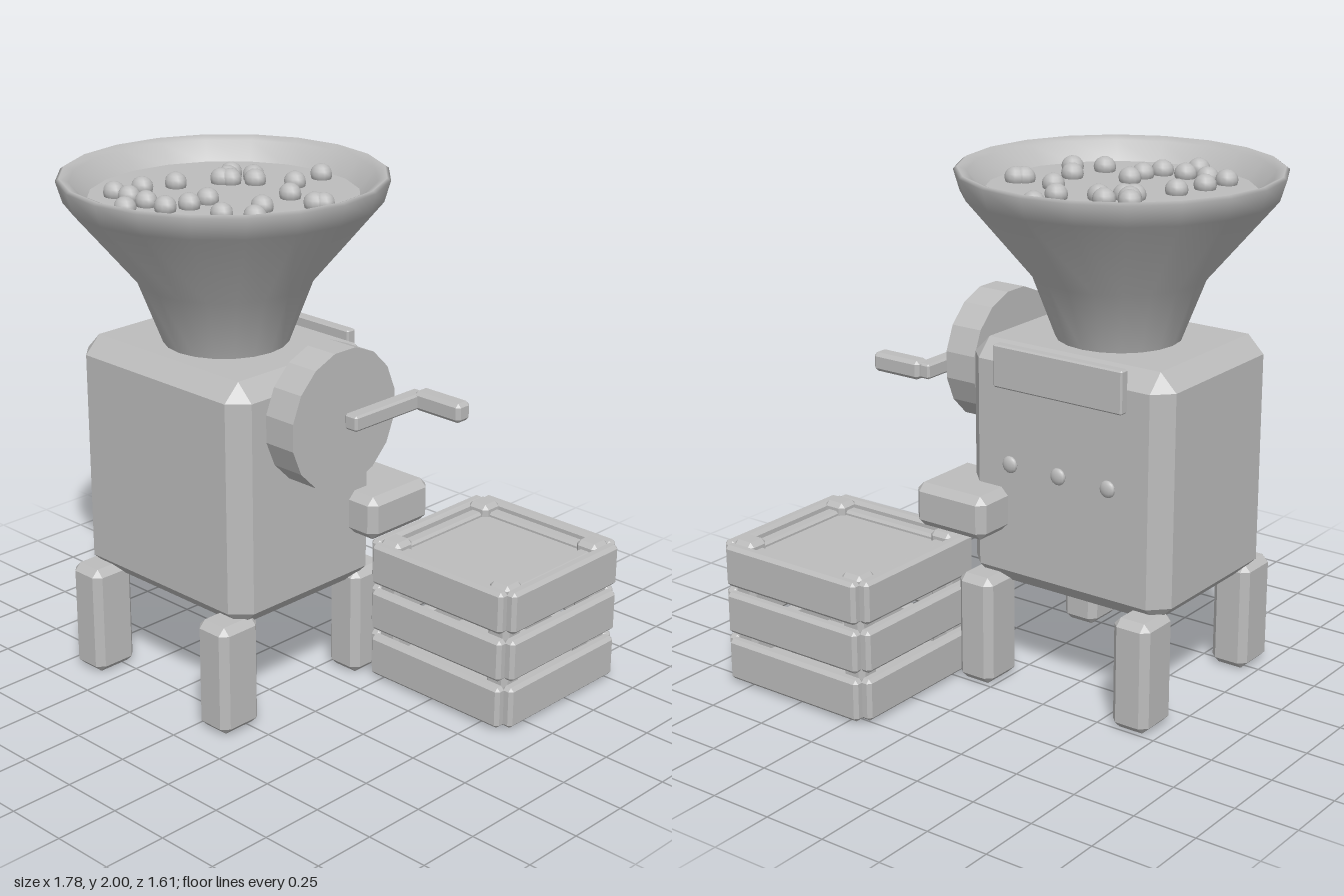
import * as THREE from 'three';
import { ConvexGeometry } from 'three/addons/geometries/ConvexGeometry.js';

const grey = new THREE.MeshStandardMaterial({ color: 0xbcbcbc });
grey.name = 'plain grey';

// Box with bevelled edges spanning two opposite corners
function chamferBox([x0, y0, z0], [x1, y1, z1], c) {
  const h = [(x1 - x0) / 2, (y1 - y0) / 2, (z1 - z0) / 2];
  const points = [];
  for (const sx of [-1, 1]) for (const sy of [-1, 1]) for (const sz of [-1, 1]) {
    for (let full = 0; full < 3; full++) {
      const p = h.map((v, i) => (i === full ? v : v - c));
      points.push(new THREE.Vector3(sx * p[0], sy * p[1], sz * p[2]));
    }
  }
  return new ConvexGeometry(points).translate((x0 + x1) / 2, (y0 + y1) / 2, (z0 + z1) / 2);
}

export function createModel() {
  const root = new THREE.Group();
  root.name = 'grinderAndCrate';
  const group = (name) => {
    const g = new THREE.Group();
    g.name = name;
    root.add(g);
    return g;
  };
  const add = (parent, name, geometry) => {
    const m = new THREE.Mesh(geometry, grey);
    m.name = name;
    parent.add(m);
    return m;
  };
  const block = (parent, name, a, b, c) => add(parent, name, chamferBox(a, b, c));
  const CX = -0.277, CZ = 0.19;

  // Machine body, legs and outlet
  const machine = group('machine');
  block(machine, 'body', [-0.725, 0.4, -0.175], [0.172, 1.36, 0.56], 0.068);
  for (const sx of [-1, 1]) for (const sz of [-1, 1]) {
    const x = CX + sx * 0.358, z = CZ + sz * 0.35;
    block(machine, 'leg', [x - 0.079, 0, z - 0.095], [x + 0.079, 0.44, z + 0.095], 0.028);
  }
  block(machine, 'outlet', [-0.03, 0.63, -0.337], [0.297, 0.803, -0.012], 0.03);

  // Back panel and buttons
  block(machine, 'backPlate', [-0.562, 1.205, -0.212], [0.01, 1.37, -0.17], 0.006);
  for (const i of [-1, 0, 1]) {
    const button = add(machine, 'button', new THREE.SphereGeometry(1, 12, 8));
    button.scale.set(0.033, 0.033, 0.016);
    button.position.set(CX + i * 0.22, 0.91, -0.197);
  }

  // Hopper: smooth outer cone, lip and filling
  const hopper = group('hopper');
  hopper.position.set(CX, 0, CZ);
  const lathe = (pts) => new THREE.LatheGeometry(pts.map(([r, y]) => new THREE.Vector2(r, y)), 20);
  add(hopper, 'funnel', lathe([[0.235, 1.35], [0.33, 1.6], [0.59, 1.91], [0.614, 1.99],
    [0.6, 2], [0.565, 1.985], [0.5, 1.91]]));
  const fill = add(hopper, 'fillSurface', new THREE.CircleGeometry(0.505, 20).rotateX(-Math.PI / 2));
  fill.position.y = 1.915;

  // Loose beans on the filling
  const beans = [
    [-0.19, -0.23], [-0.18, -0.08], [-0.45, -0.01], [-0.36, -0.04], [-0.31, 0], [-0.42, 0.035],
    [-0.38, 0.06], [-0.41, 0.08], [-0.07, 0.055], [0.085, 0.085], [0.11, 0.065], [-0.485, 0.24],
    [-0.02, 0.245], [-0.235, 0.31], [-0.525, 0.37], [0.057, 0.355], [-0.23, 0.405], [-0.05, 0.415],
    [-0.545, 0.488], [-0.462, 0.488], [-0.362, 0.493], [-0.26, 0.493], [-0.352, 0.602],
  ];
  const beanGroup = group('beans');
  for (const [x, z] of beans) {
    const bean = add(beanGroup, 'bean', new THREE.SphereGeometry(1, 12, 8));
    bean.scale.set(0.044, 0.04, 0.04);
    bean.position.set(x, 1.932, z);
  }

  // Flywheel and crank
  const crank = group('crank');
  const wheelGeo = new THREE.CylinderGeometry(0.268, 0.268, 0.135, 16)
    .rotateY(Math.PI / 16).rotateZ(-Math.PI / 2).toNonIndexed();
  wheelGeo.computeVertexNormals();
  add(crank, 'wheel', wheelGeo).position.set(0.272, 1.197, CZ);
  block(crank, 'crankArm', [0.338, 1.162, -0.185], [0.398, 1.222, 0.192], 0.008);
  block(crank, 'crankHandle', [0.375, 1.157, -0.207], [0.597, 1.232, -0.135], 0.014);

  // Slatted crate with corner posts
  const crate = group('crate');
  const KX = 0.523, KZ = -0.457;
  for (const y of [0.01, 0.205, 0.4]) {
    for (const s of [-1, 1]) {
      const z = KZ + s * 0.325, x = KX + s * 0.335;
      block(crate, 'slat', [KX - 0.325, y, z - 0.025], [KX + 0.325, y + 0.168, z + 0.025], 0.014);
      block(crate, 'sideSlat', [x - 0.026, y, KZ - 0.315], [x + 0.026, y + 0.168, KZ + 0.315], 0.014);
    }
  }
  for (const sx of [-1, 1]) for (const sz of [-1, 1]) {
    const x = KX + sx * 0.272, z = KZ + sz * 0.26;
    block(crate, 'post', [x - 0.05, 0, z - 0.048], [x + 0.05, 0.578, z + 0.048], 0.018);
  }
  // Top rails between the posts, contents and base
  for (const s of [-1, 1]) {
    const x = KX + s * 0.272, z = KZ + s * 0.265;
    block(crate, 'rail', [x - 0.028, 0.45, KZ - 0.24], [x + 0.028, 0.548, KZ + 0.24], 0.01);
    block(crate, 'rail', [KX - 0.24, 0.45, z - 0.028], [KX + 0.24, 0.548, z + 0.028], 0.01);
  }
  block(crate, 'topPanel', [KX - 0.32, 0.47, KZ - 0.31], [KX + 0.32, 0.53, KZ + 0.31], 0.005);
  block(crate, 'base', [KX - 0.32, 0.012, KZ - 0.31], [KX + 0.32, 0.06, KZ + 0.31], 0.005);

  return root;
}
